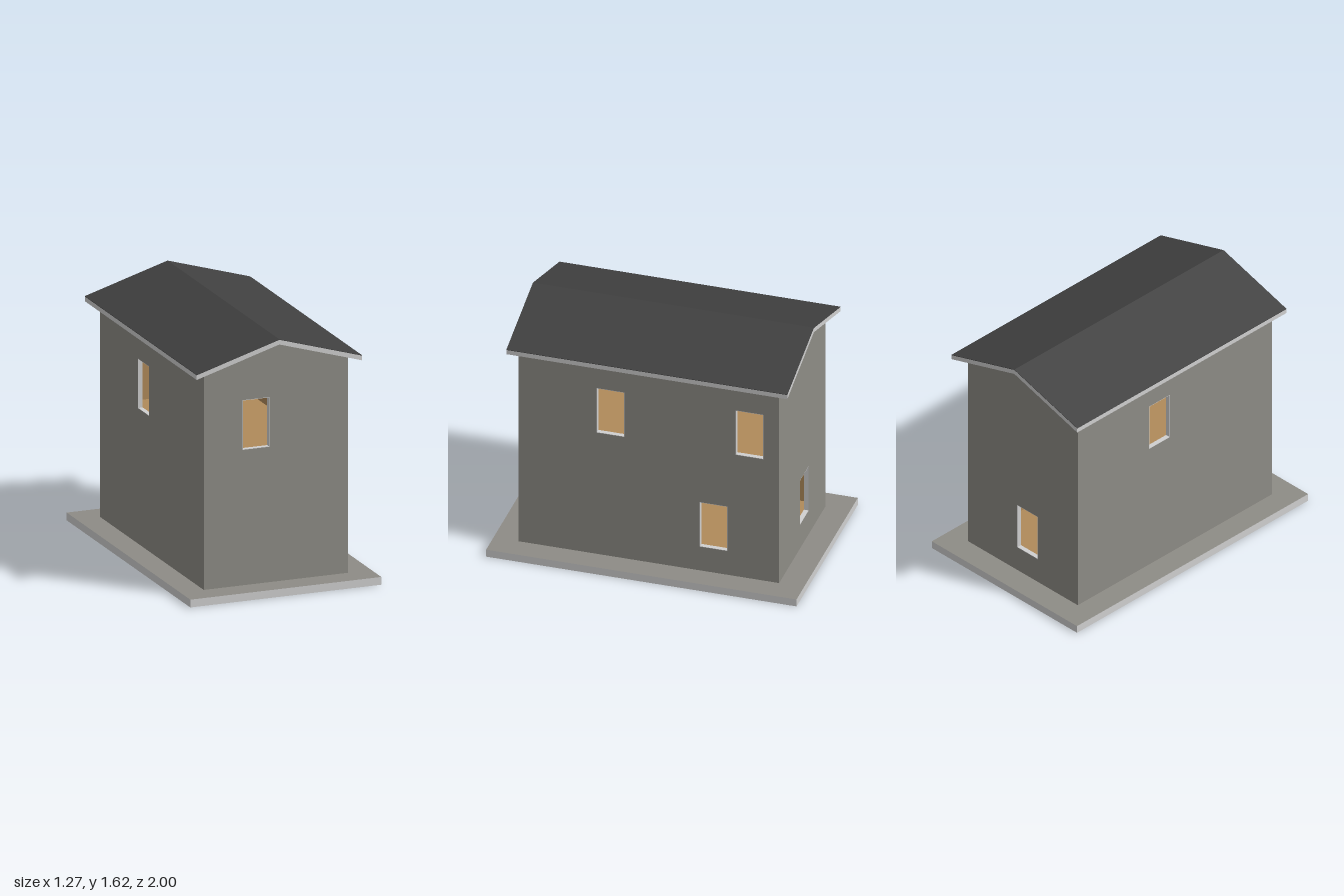
import * as THREE from 'three';

const mat = (name, color, side = THREE.FrontSide) => {
  const m = new THREE.MeshStandardMaterial({ color, side });
  m.name = name;
  return m;
};

export function createModel() {
  const wallGrey = mat('wall grey', 0x8e8c86);
  const paleTrim = mat('pale trim', 0xd0d0d0);
  const roofDark = mat('roof charcoal', 0x404040);
  const wood = mat('interior tan', 0xb08a5a, THREE.DoubleSide);

  const HX = 0.48, HZ = 0.84, T = 0.03, BASE = 0.05;
  const EAVE = 1.446, RIDGE = 1.59, WIN_W = 0.18, WIN_H = 0.32;
  const LOW = 0.22, HIGH = 0.92;

  const house = new THREE.Group();
  house.name = 'house';

  const add = (parent, name, geometry, material, x = 0, y = 0, z = 0) => {
    const mesh = new THREE.Mesh(geometry, material);
    mesh.name = name;
    mesh.position.set(x, y, z);
    parent.add(mesh);
    return mesh;
  };
  const poly = (pts) => pts.map(([x, y]) => new THREE.Vector2(x, y));
  const rect = (u, y, w, h) => poly([[u - w / 2, y], [u + w / 2, y], [u + w / 2, y + h], [u - w / 2, y + h]]);
  const extrude = (shape, depth) => new THREE.ExtrudeGeometry(shape, { depth, bevelEnabled: false });

  // Plinth with a darker paved top
  add(house, 'plinth', new THREE.BoxGeometry(1.27, BASE, 2),
    [paleTrim, paleTrim, wallGrey, paleTrim, paleTrim, paleTrim], 0, BASE / 2, 0);

  // Wall panel with openings, inner lining and pale reveals; local +z faces outward
  function wall(name, outline, distance, angle, windows) {
    const group = new THREE.Group();
    group.name = name;
    group.rotation.y = angle;
    house.add(group);
    const shape = new THREE.Shape(poly(outline));
    for (const [u, y] of windows) shape.holes.push(new THREE.Path(rect(u, y, WIN_W, WIN_H)));
    add(group, name + 'Panel', extrude(shape, T - 0.002), wallGrey, 0, 0, distance - T + 0.002);
    add(group, name + 'Lining', new THREE.ShapeGeometry(shape), wood, 0, 0, distance - T);
    for (const [u, y] of windows) {
      const reveal = new THREE.Shape(rect(u, y, WIN_W, WIN_H));
      const e = 0.003;
      reveal.holes.push(new THREE.Path(rect(u, y + e, WIN_W - 2 * e, WIN_H - 2 * e)));
      add(group, name + 'WindowReveal', extrude(reveal, T), paleTrim, 0, 0, distance - T);
    }
  }

  const gable = [[-HX, BASE], [HX, BASE], [HX, EAVE], [0, RIDGE], [-HX, EAVE]];
  const side = [[-HZ, BASE], [HZ, BASE], [HZ, EAVE], [-HZ, EAVE]];
  wall('frontWall', gable, HZ, 0, [[-0.133, HIGH]]);
  wall('backWall', gable, HZ, Math.PI, [[0.04, LOW]]);
  wall('leftWall', side, HX, Math.PI / 2, [[-0.247, HIGH], [0.65, HIGH], [0.418, LOW]]);
  wall('rightWall', side, HX, -Math.PI / 2, [[-0.133, HIGH]]);

  // Storey floors
  for (const [name, top] of [['groundFloor', 0.08], ['upperFloor', 0.78]]) {
    add(house, name, new THREE.BoxGeometry(2 * (HX - T), T, 2 * (HZ - T)), wood, 0, top - T / 2, 0);
  }

  // Chevron slab running the length of the house
  const chevron = (halfWidth, ridge, drop, thick, length) => extrude(new THREE.Shape(poly([
    [-halfWidth, ridge - drop], [-halfWidth, ridge - drop - thick], [0, ridge - thick],
    [halfWidth, ridge - drop - thick], [halfWidth, ridge - drop], [0, ridge],
  ])), length);
  const ROOF_BACK = -0.914, ROOF_LEN = 1.81;
  add(house, 'roofSlab', chevron(0.55, 1.618, 0.165, 0.03, ROOF_LEN), paleTrim, 0, 0, ROOF_BACK);
  add(house, 'roofCovering', chevron(0.55, 1.621, 0.165, 0.003, ROOF_LEN), roofDark, 0, 0, ROOF_BACK);
  // Pale sloping ceiling inside
  add(house, 'ceiling', chevron(HX - T, 1.56, 0.135, 0.02, 2 * (HZ - T)), paleTrim, 0, 0, -(HZ - T));

  return house;
}
